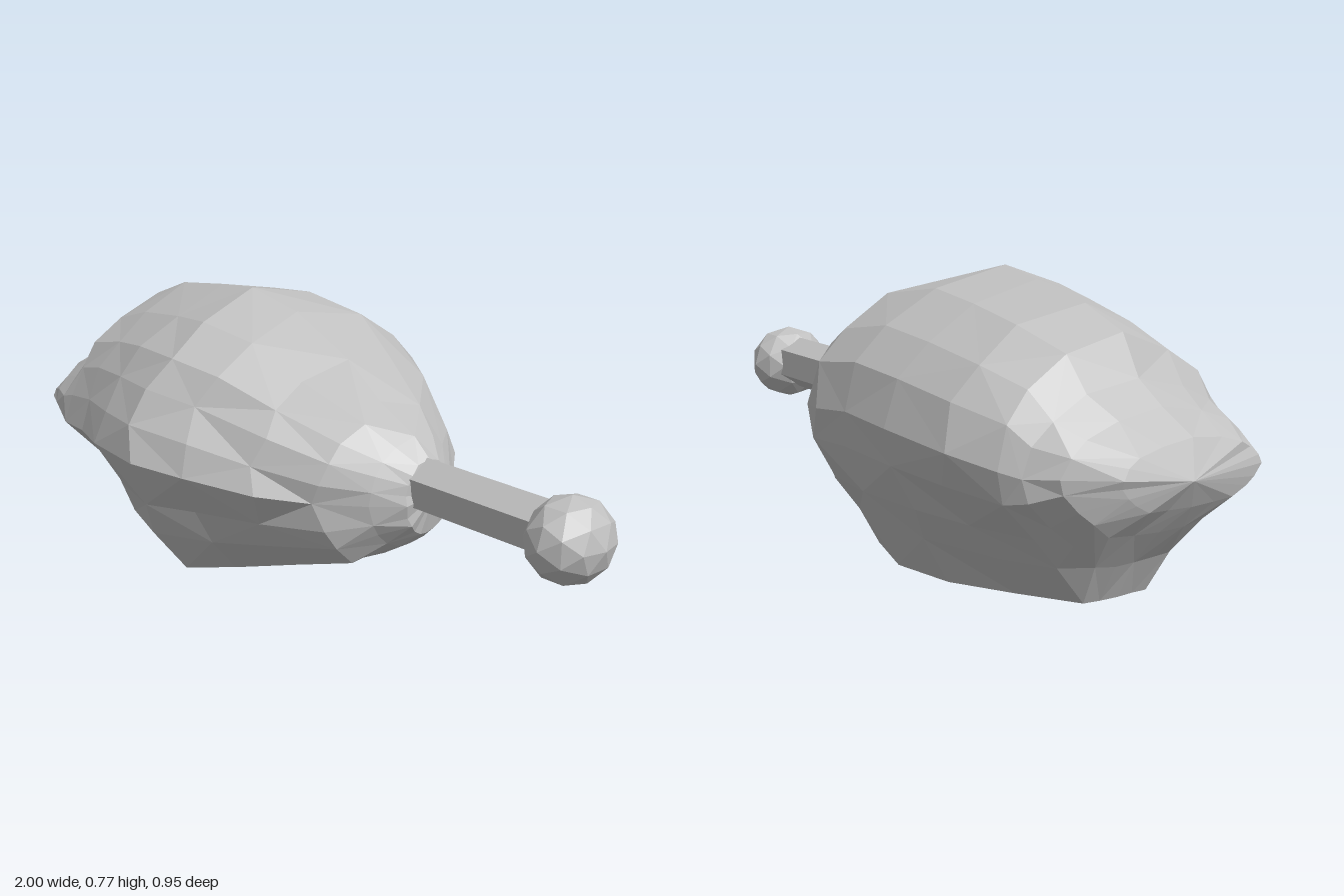
import * as THREE from 'three';

// Cross-sections of the meat along x:
// [x, bottom, top, back z, front z, how strongly shaped, width of the base]
const SECTIONS = [
  [-0.96, 0.265, 0.43, -0.18, 0.25, 0.5, 1],
  [-0.91, 0.20, 0.50, -0.315, 0.275, 0.6, 0.8],
  [-0.84, 0.11, 0.56, -0.37, 0.305, 0.8, 0.55],
  [-0.785, 0.01, 0.66, -0.40, 0.32, 1, 0.42],
  [-0.64, 0.003, 0.712, -0.46, 0.365, 1, 0.58],
  [-0.44, 0.00, 0.748, -0.48, 0.43, 1, 0.87],
  [-0.25, 0.00, 0.765, -0.485, 0.48, 1, 0.98],
  [-0.09, 0.012, 0.725, -0.482, 0.428, 1, 0.82],
  [0.10, 0.055, 0.63, -0.39, 0.335, 0.6, 0.9],
  [0.26, 0.11, 0.54, -0.27, 0.235, 0.4, 1],
  [0.36, 0.17, 0.475, -0.175, 0.14, 0.2, 1],
  [0.42, 0.215, 0.425, -0.1, 0.065, 0, 1],
];

// Section outline [z, y]: sloping shoulders, a low ridge in front, flat base
const OUTLINE = [
  [1, -0.07], [0.94, 0.18], [0.81, 0.42], [0.68, 0.64], [0.41, 0.84],
  [0, 1], [-0.46, 0.89], [-0.76, 0.67], [-0.93, 0.44], [-1, 0.12],
  [-0.97, -0.13], [-0.9, -0.43], [-0.82, -0.68], [-0.68, -1], [-0.33, -1],
  [0, -1], [0.33, -1], [0.63, -1], [0.82, -0.69], [0.89, -0.42],
];
const SIDES = OUTLINE.length;

function seeded(seed) {
  return () => {
    seed = (seed * 16807) % 2147483647;
    return seed / 2147483647;
  };
}

// Faceted loft with slightly uneven rings and alternating diagonals
function meatGeometry() {
  const rand = seeded(77);
  const rings = SECTIONS.map(([x, y0, y1, z0, z1, shaped, base], i) =>
    OUTLINE.map(([u, v]) => {
      const r = (shaped + (1 - shaped) / Math.hypot(u, v)) * (1.005 - rand() * 0.022);
      const low = THREE.MathUtils.clamp((-v - 0.1) / 0.9, 0, 1);
      const width = 1 - (1 - base) * low;
      const dx = (rand() - 0.5) * (i > 3 && i < 10 ? 0.06 : 0.012);
      const y = (y0 + y1) / 2 + (v * r * (y1 - y0)) / 2;
      const z = (z0 + z1) / 2 + (u * r * width * (z1 - z0)) / 2;
      return [x + dx, Math.max(0, y), z];
    })
  );

  const pos = [];
  const tri = (...corners) => corners.forEach((p) => pos.push(...p));
  const last = rings.length - 1;
  for (let j = 0; j < SIDES; j++) {
    const k = (j + 1) % SIDES;
    for (let i = 0; i < last; i++) {
      const p = rings[i], q = rings[i + 1];
      if ((i + j) % 2 === 0) {
        tri(p[j], q[j], p[k]);
        tri(p[k], q[j], q[k]);
      } else {
        tri(p[j], q[k], p[k]);
        tri(p[j], q[j], q[k]);
      }
    }
    // Blunt tip and the small face around the bone
    tri([-1, 0.34, 0], rings[0][j], rings[0][k]);
    tri(rings[last][j], [0.44, 0.33, -0.02], rings[last][k]);
  }
  const g = new THREE.BufferGeometry();
  g.setAttribute('position', new THREE.Float32BufferAttribute(pos, 3));
  g.computeVertexNormals();
  return g;
}

export function createModel() {
  const group = new THREE.Group();
  group.name = 'drumstick';
  const grey = new THREE.MeshStandardMaterial({ color: 0xc0c0c0, flatShading: true });
  grey.name = 'light grey';

  const add = (name, geometry) => {
    const mesh = new THREE.Mesh(geometry, grey);
    mesh.name = name;
    group.add(mesh);
    return mesh;
  };

  add('meat', meatGeometry());

  // Six-sided bone shaft lying along x
  const shaft = add('boneShaft', new THREE.CylinderGeometry(0.078, 0.078, 0.46, 6, 1, false, -0.44));
  shaft.rotation.z = -Math.PI / 2;
  shaft.position.set(0.61, 0.35, -0.02);

  // Faceted knob at the end of the bone
  const knob = add('boneKnob', new THREE.IcosahedronGeometry(1, 1));
  knob.scale.set(0.108, 0.114, 0.124);
  knob.position.set(0.892, 0.342, -0.018);

  return group;
}
